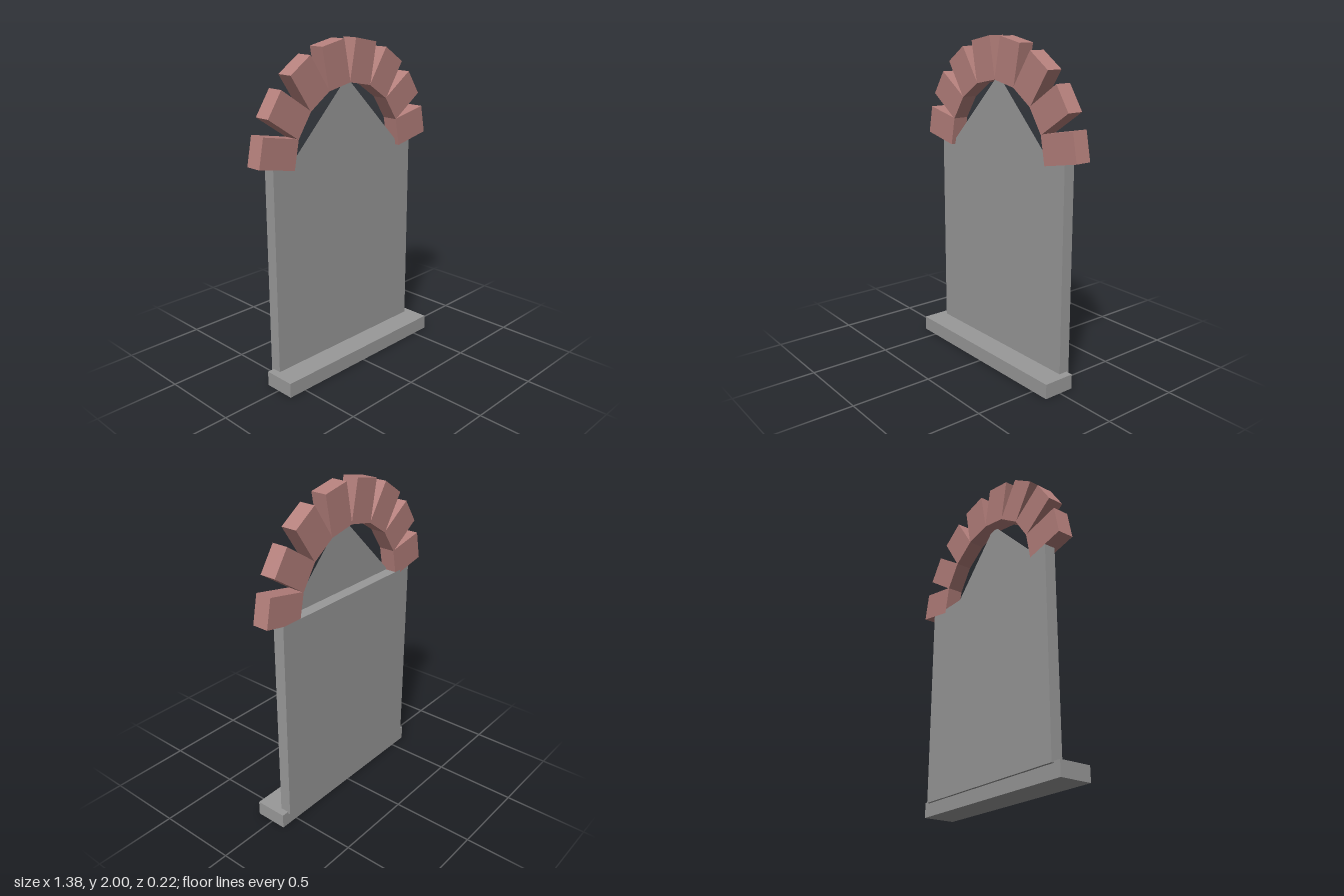
import * as THREE from 'three';

const stone = new THREE.MeshStandardMaterial({ color: 0x999999 });
stone.name = 'greyStone';
const stoneSheet = new THREE.MeshStandardMaterial({ color: 0x999999, side: THREE.DoubleSide });
stoneSheet.name = 'greyStoneSheet';
const brick = new THREE.MeshStandardMaterial({ color: 0xb5807c });
brick.name = 'redBrick';

// Box given by its minimum and maximum corners
function block(name, min, max, material) {
  const size = max.map((v, i) => v - min[i]);
  const mesh = new THREE.Mesh(new THREE.BoxGeometry(...size), material);
  mesh.position.set(...max.map((v, i) => (v + min[i]) / 2));
  mesh.name = name;
  return mesh;
}

export function createModel() {
  const model = new THREE.Group();
  model.name = 'archedWindow';

  // Projecting sill and the upright panel behind it
  model.add(block('sill', [-0.615, 0, -0.092], [0.615, 0.09, 0.108], stone));
  model.add(block('panel', [-0.57, 0.08, -0.108], [0.57, 1.33, -0.037], stone));

  // Thin pointed sheet flush with the front of the panel
  const outline = new THREE.Shape([
    new THREE.Vector2(-0.445, 1.33),
    new THREE.Vector2(0.445, 1.33),
    new THREE.Vector2(0, 1.775),
  ]);
  const gable = new THREE.Mesh(new THREE.ShapeGeometry(outline), stoneSheet);
  gable.position.z = -0.037;
  gable.name = 'gable';
  model.add(gable);

  // Half ring of eight bricks
  const arch = new THREE.Group();
  arch.name = 'brickArch';
  arch.position.set(0, 1.307, -0.058);
  const count = 8, radius = 0.558;
  const geometry = new THREE.BoxGeometry(0.255, 0.175, 0.1);
  for (let i = 0; i < count; i++) {
    const angle = ((i + 0.5) / count) * Math.PI;
    const mesh = new THREE.Mesh(geometry, brick);
    mesh.position.set(radius * Math.cos(angle), radius * Math.sin(angle), 0);
    mesh.rotation.z = angle;
    mesh.name = `archBrick${i + 1}`;
    arch.add(mesh);
  }
  model.add(arch);

  return model;
}
